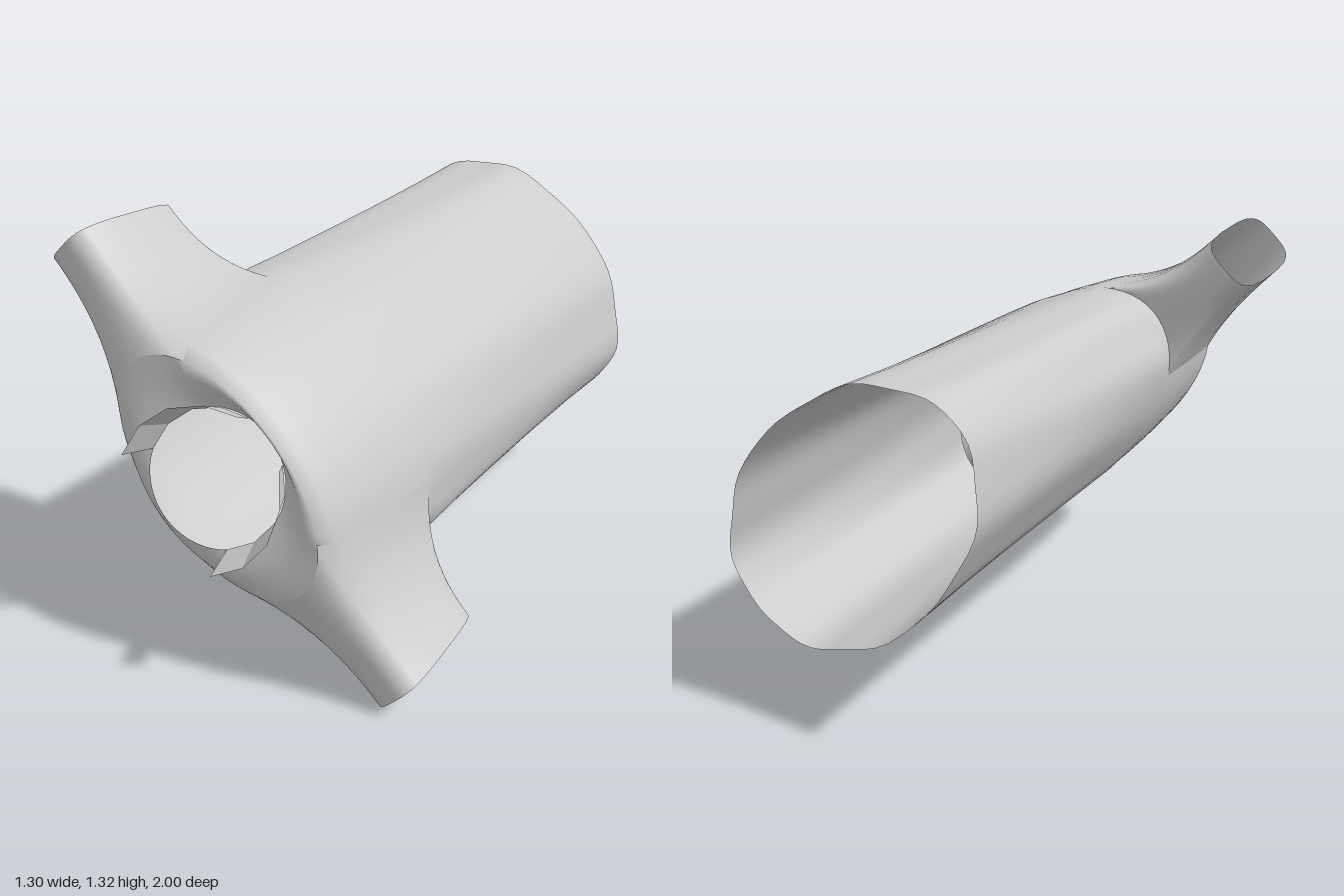
import * as THREE from 'three';

const N = 64;            // columns around the torso
const K = 7;             // half width of an armhole, in columns
const HOLE = [6, 12];    // first and last row of an armhole

// Torso rows from hem to neckline: z, centre v, half width, half depth, drop towards the front
const ROWS = [
  [-0.955, 0.082, 0.495, 0.347, 0], [-0.7, 0.077, 0.487, 0.335, 0], [-0.4, 0.072, 0.483, 0.327, 0],
  [-0.1, 0.066, 0.485, 0.322, 0], [0.15, 0.06, 0.49, 0.318, 0], [0.3, 0.055, 0.497, 0.315, 0],
  [0.37, 0.05, 0.497, 0.312, 0], [0.46, 0.047, 0.492, 0.308, 0], [0.55, 0.043, 0.487, 0.302, 0],
  [0.64, 0.04, 0.482, 0.295, 0], [0.73, 0.036, 0.475, 0.287, 0], [0.82, 0.032, 0.46, 0.277, 0.005],
  [0.888, 0.03, 0.42, 0.262, 0.03], [0.915, 0.03, 0.34, 0.245, 0.065], [0.927, 0.03, 0.27, 0.228, 0.1],
  [0.935, 0.03, 0.215, 0.208, 0.13],
];
const LAST = ROWS.length - 1;

const material = (flat = false) =>
  new THREE.MeshStandardMaterial({ color: 0xcccccc, side: THREE.DoubleSide, flatShading: flat });

// A point of the cloth at an angle on a row
function torsoPoint(angle, j) {
  const [z, cv, a, b, drop] = ROWS[j];
  const c = Math.cos(angle), s = Math.sin(angle);
  // soft folds running down the body, fading out at the shoulders
  const fold = j < 6 ? 1 + 0.012 * Math.sin(7 * angle + 1.5 * z) + 0.008 * Math.sin(11 * angle - 2 * z) : 1;
  // the hem hangs lower at front and back than at the sides
  const hem = j === 0 ? (s < 0 ? 0.045 : 0.025) * s * s : 0;
  return new THREE.Vector3(a * c * fold, cv + b * s * fold, z - hem - drop * (0.5 + 0.5 * s));
}
const column = (i) => (2 * Math.PI * i) / N;

// Surface through rows of points, leaving out the cells that skip(i, j) names
function surface(rows, closed, skip = () => false) {
  const n = rows[0].length, index = [];
  for (let j = 0; j < rows.length - 1; j++) {
    for (let i = 0; i < (closed ? n : n - 1); i++) {
      if (skip(i, j)) continue;
      const a = j * n + i, b = j * n + ((i + 1) % n);
      index.push(a, b, b + n, a, b + n, a + n);
    }
  }
  const g = new THREE.BufferGeometry().setFromPoints(rows.flat());
  g.setIndex(index);
  g.computeVertexNormals();
  return g;
}

// Body with an armhole on each side
function torso() {
  const rows = ROWS.map((_, j) => Array.from({ length: N }, (_, i) => torsoPoint(column(i), j)));
  const inHole = (i, j) => {
    const k = (i + K) % (N / 2);
    return k < 2 * K && j >= HOLE[0] && j < HOLE[1];
  };
  return new THREE.Mesh(surface(rows, true, inHole), material());
}

// Sleeve: the armhole outline flows into a rounded cuff, cut a little shorter underneath
function sleeve(side) {
  const [j0, j1] = HOLE, loop = [];
  for (let i = -K; i < K; i++) loop.push([i, j0]);
  for (let j = j0; j < j1; j++) loop.push([K, j]);
  for (let i = K; i > -K; i--) loop.push([i, j1]);
  for (let j = j1; j > j0; j--) loop.push([-K, j]);

  const shift = side > 0 ? 0 : N / 2;
  const start = loop.map(([i, j]) => torsoPoint(column(i + shift), j));
  const end = loop.map(([i, j]) => {
    const f = Math.atan2((2 * (j - j0)) / (j1 - j0) - 1, i / K);
    const c = Math.cos(f), s = Math.sin(f);
    const r = (Math.abs(c) ** 3.5 + Math.abs(s) ** 3.5) ** (-1 / 3.5);
    return new THREE.Vector3(side * (0.815 + 0.02 * r * s), side * 0.107 * r * c, 0.585 + 0.215 * r * s);
  });
  const rows = [];
  for (let k = 0; k <= 10; k++) {
    const t = k / 10;
    rows.push(start.map((p, i) => new THREE.Vector3(
      THREE.MathUtils.lerp(p.x, end[i].x, t),
      THREE.MathUtils.lerp(p.y, end[i].y, 1 - (1 - t) ** 2.5),
      THREE.MathUtils.lerp(p.z, end[i].z, 1 - (1 - t) ** 2))));
  }
  return new THREE.Mesh(surface(rows, true), material());
}

// Collar band standing on one side of the neckline, open at front and back
function collar(side) {
  const lower = [], upper = [];
  for (let k = 0; k <= 4; k++) {
    const angle = THREE.MathUtils.degToRad(-31 + (99 * k) / 4);
    const p = torsoPoint(angle, LAST);
    const q = new THREE.Vector3(p.x + 0.04 * Math.cos(angle), p.y + 0.04 * Math.sin(angle), 1 - 0.03 * k);
    p.x *= side;
    q.x *= side;
    lower.push(p);
    upper.push(q);
  }
  const rows = side > 0 ? [lower, upper] : [lower.reverse(), upper.reverse()];
  return new THREE.Mesh(surface(rows, false), material(true));
}

export function createModel() {
  const root = new THREE.Group();
  root.name = 'shirt';
  // the garment is laid out flat, then leaned over about its length
  const garment = new THREE.Group();
  garment.name = 'garment';
  garment.rotation.z = -0.797;
  garment.position.y = 0.675;
  root.add(garment);

  const add = (mesh, name) => {
    mesh.name = name;
    garment.add(mesh);
  };
  add(torso(), 'torso');
  for (const [side, name] of [[1, 'left'], [-1, 'right']]) {
    add(sleeve(side), name + 'Sleeve');
    add(collar(side), name + 'Collar');
  }
  return root;
}
